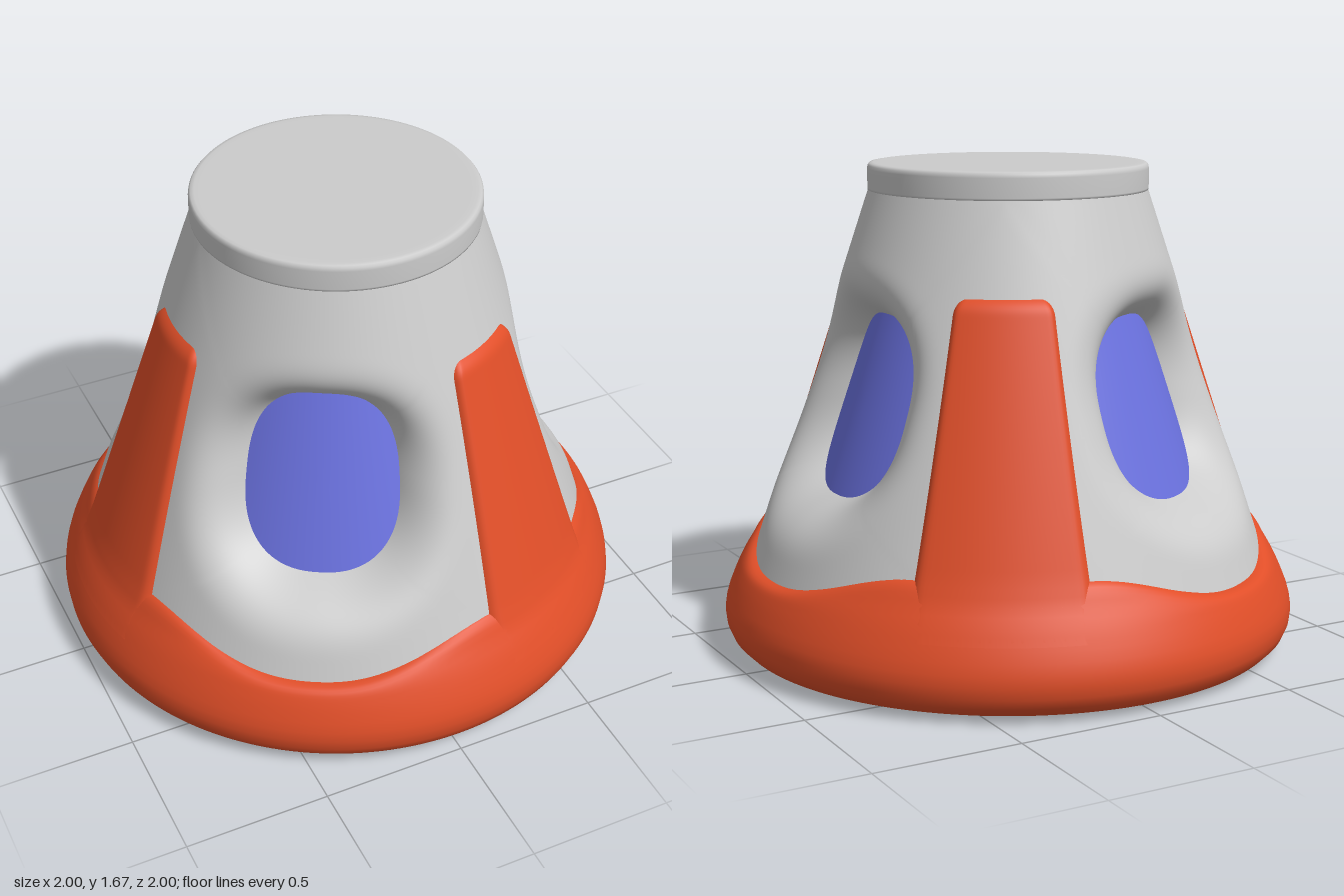
import * as THREE from 'three';
import { mergeVertices, mergeGeometries } from 'three/addons/utils/BufferGeometryUtils.js';

const DEG = Math.PI / 180;
const GREY = 0xcccccc, RED = 0xe04e28, BLUE = 0x6b72e0;
const lerp = THREE.MathUtils.lerp;
const clamp = THREE.MathUtils.clamp;
const polar = (phi, r, y) => [r * Math.cos(phi), y, r * Math.sin(phi)];

// Radius of the plain cone wall at height y
const coneR = (y) => 0.48 + (1.583 - y) * 0.33;

// Radius of the raised red skin at height y
const FLARE = [[0.25, 0.965], [0.3, 0.942], [0.36, 0.908], [0.44, 0.877]];
function skinR(y) {
  for (let i = 0; i < FLARE.length - 1; i++) {
    const [y0, r0] = FLARE[i], [y1, r1] = FLARE[i + 1];
    if (y <= y1) return lerp(r0, r1, (y - y0) / (y1 - y0));
  }
  return coneR(y) + 0.02;
}

// Surface from a rule f(i, j) -> [x, y, z]; front side is (j direction) x (i direction)
function grid(nu, nv, f) {
  const pos = [], idx = [];
  for (let i = 0; i <= nu; i++) for (let j = 0; j <= nv; j++) pos.push(...f(i, j));
  for (let i = 0; i < nu; i++) for (let j = 0; j < nv; j++) {
    const a = i * (nv + 1) + j, b = a + nv + 1;
    idx.push(a, a + 1, b, b, a + 1, b + 1);
  }
  const g = new THREE.BufferGeometry();
  g.setAttribute('position', new THREE.Float32BufferAttribute(pos, 3));
  g.setIndex(idx);
  return g;
}

function part(name, geometry, color) {
  const g = mergeVertices(geometry);
  g.computeVertexNormals();
  const mesh = new THREE.Mesh(g, new THREE.MeshStandardMaterial({ color }));
  mesh.name = name;
  return mesh;
}

// Window outline: a tapered superellipse, as [angle, height] on the recessed cone
const WIN_Y = 0.88, DEPTH = 0.15, RAYS = 128;
function outline(a) {
  const c = Math.cos(a), s = Math.sin(a), p = 2 / 2.6;
  const y = WIN_Y + 0.3 * Math.sign(s) * Math.abs(s) ** p;
  const z = (0.253 - 0.08 * (y - WIN_Y)) * Math.sign(c) * Math.abs(c) ** p;
  return [Math.asin(z / (coneR(y) - DEPTH)), y];
}

// One third of the wall, running from the window edge out to a rectangular border
function wallSector(turn) {
  const rings = 36;
  return grid(rings, RAYS, (i, j) => {
    const a = (j / RAYS) * Math.PI * 2;
    const c = Math.cos(a), s = Math.sin(a), m = Math.max(Math.abs(c), Math.abs(s));
    const [p0, y0] = outline(a);
    const p1 = (c / m) * 60 * DEG;
    const y1 = WIN_Y + (s / m) * (s > 0 ? 1.583 - WIN_Y : WIN_Y - 0.24);
    const k = (i / rings) ** 1.7;
    const phi = lerp(p0, p1, k), y = lerp(y0, y1, k);
    const t = Math.hypot((phi - p0) * coneR(y), y - y0);
    const dent = DEPTH * Math.max(0, 1 - t / 0.21) ** 3;
    return polar(phi + turn, coneR(y) - dent, y);
  });
}

// Curved pane filling the window outline
function pane(turn) {
  return grid(10, RAYS, (i, j) => {
    const [p, yo] = outline((j / RAYS) * Math.PI * 2);
    const y = lerp(WIN_Y, yo, i / 10);
    return polar((p * i) / 10 + turn, coneR(y) - DEPTH, y);
  });
}

// Raised rib with rounded edges and a rounded top
function rib(turn) {
  const nu = 40, nv = 60, top = 1.295, low = 0.25;
  return grid(nu, nv, (i, j) => {
    const u = Math.sin((i / nu - 0.5) * Math.PI);
    const y = lerp(low, top, Math.sin((j / nv) * Math.PI / 2));
    const q = clamp((y - (top - 0.07)) / 0.07, 0, 1);
    const half = lerp(18.5, 15.7, clamp((y - 0.42) / 0.83, 0, 1)) * DEG / 0.95
      - 0.1 * (1 - Math.sqrt(1 - q * q));
    const side = Math.max(0, (Math.abs(u) - 0.8) / 0.2);
    const drop = 0.045 * Math.min(1, side ** 3 + q ** 3);
    return polar(u * half + turn, skinR(y) - drop, y);
  });
}

// Base skirt, whose upper edge dips below each window
function skirt() {
  const lower = [[0, 0], [0.8, 0], [0.86, 0.002], [0.91, 0.01], [0.95, 0.025], [0.98, 0.055],
    [0.995, 0.09], [1, 0.13], [0.995, 0.165], [0.985, 0.2]];
  const steps = 10, n = 180;
  return grid(n, lower.length + steps, (i, j) => {
    const phi = (i / n) * Math.PI * 2;
    if (j < lower.length) return polar(phi, ...lower[j]);
    const deg = (i / n) * 360;
    const off = Math.abs(((deg + 60) % 120) - 60);
    const edge = 0.31 + 0.12 * Math.sin(Math.min(1, off / 42) * Math.PI / 2) ** 2.6;
    const k = (j - lower.length) / steps;
    const y = lerp(0.235, edge, Math.sin(k * Math.PI / 2));
    const r = y < 0.25 ? lerp(0.985, 0.965, (y - 0.2) / 0.05) : skinR(y);
    return polar(phi, r - 0.05 * k ** 5, y);
  });
}

// Short collar and flat lid
function collar() {
  const profile = [[0.47, 1.575], [0.481, 1.583], [0.482, 1.59], [0.482, 1.655], [0.48, 1.666],
    [0.474, 1.673], [0.462, 1.675], [0.44, 1.675], [0, 1.675]];
  return grid(96, profile.length - 1, (i, j) => polar((i / 96) * Math.PI * 2, ...profile[j]));
}

export function createModel() {
  const group = new THREE.Group();
  group.name = 'capsule';
  const turns = [0, 120, 240].map((d) => d * DEG);

  group.add(part('wall', mergeGeometries(turns.map(wallSector)), GREY));
  group.add(part('collar', collar(), GREY));
  group.add(part('baseSkirt', skirt(), RED));
  turns.forEach((t) => {
    group.add(part('windowPane', pane(t), BLUE));
    group.add(part('rib', rib(t + 60 * DEG), RED));
  });
  return group;
}
